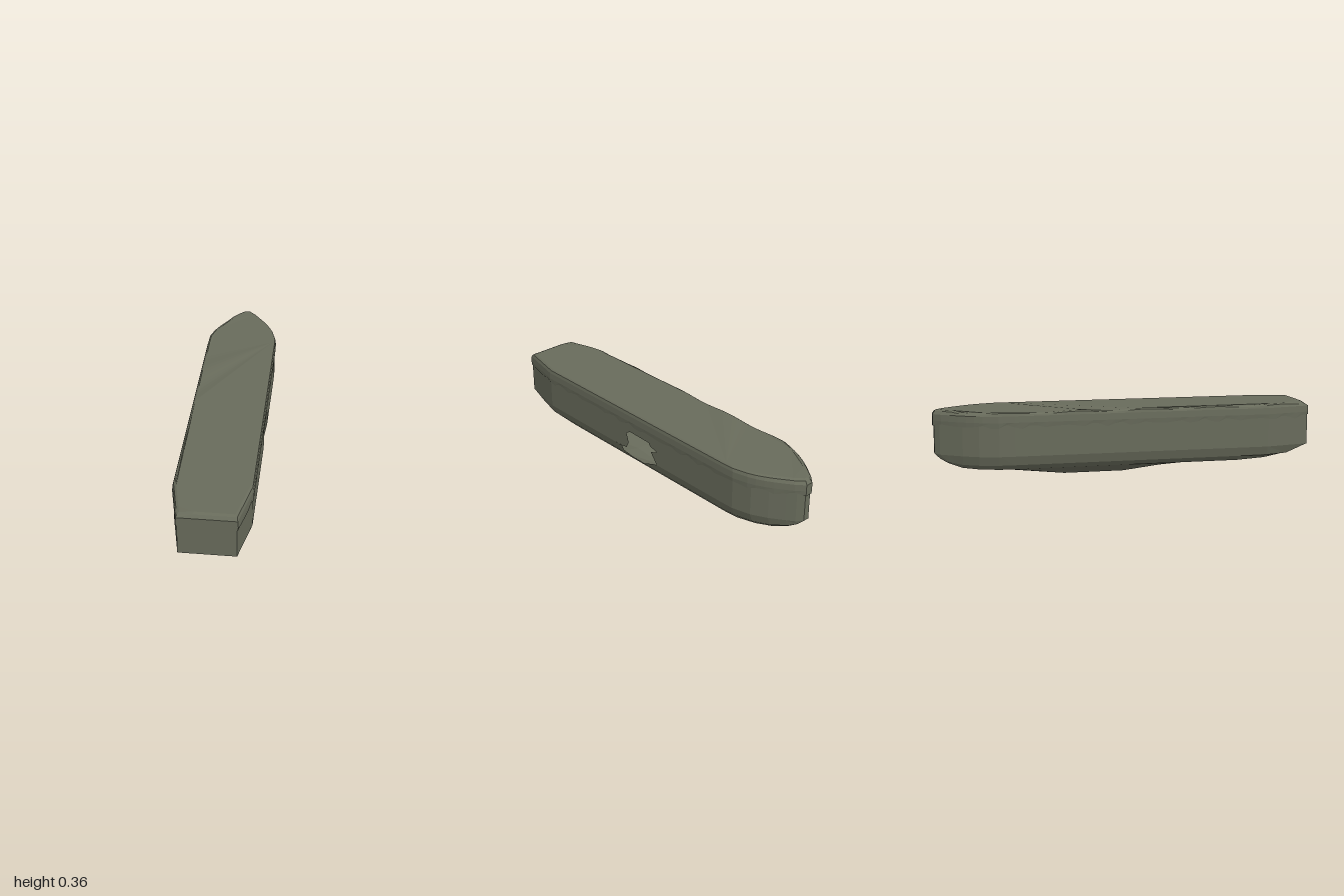
import * as THREE from 'three';

const hullPaint = new THREE.MeshStandardMaterial({ color: 0x686b5b, side: THREE.DoubleSide });
hullPaint.name = 'grey green';

// Hull stations: z, wall half-width, then half-width and height of bilge, chine and keel
const stations = [
  [1, .14, .138, .127, .12, .127, .03, .127],
  [.88, .165, .147, .082, .125, .08, .03, .08],
  [.76, .19, .174, .08, .125, .058, .03, .057],
  [.6, .19, .175, .08, .155, .055, .03, .047],
  [.2, .19, .175, .08, .155, .055, .03, .023],
  [0, .19, .175, .08, .155, .055, .03, 0],
  [-.2, .19, .175, .08, .155, .055, .03, 0],
  [-.32, .19, .175, .08, .155, .055, .03, 0],
  [-.6, .19, .175, .08, .155, .055, .03, .03],
  [-.68, .188, .172, .08, .15, .055, .03, .039],
  [-.78, .163, .147, .08, .12, .056, .03, .05],
  [-.86, .122, .106, .08, .08, .06, .025, .058],
  [-.93, .074, .062, .09, .048, .082, .02, .08],
  [-.97, .046, .038, .11, .03, .104, .015, .103],
  [-.997, .016, .014, .13, .01, .13, .005, .13],
];

function flatGeometry(triangles) {
  const g = new THREE.BufferGeometry();
  g.setAttribute('position', new THREE.Float32BufferAttribute(triangles.flat(), 3));
  g.computeVertexNormals();
  return g;
}

function part(name, geometry) {
  const mesh = new THREE.Mesh(geometry, hullPaint);
  mesh.name = name;
  return mesh;
}

const quad = (out, a, b, c, d) => out.push(a, b, c, a, c, d);

// Full cross-section, from the +x rim under the keel to the -x rim
function section([z, w, bw, by, cw, cy, kw, ky]) {
  const half = [[w, .337], [w, .127 + (by > .127 ? .003 : 0)], [bw, by], [cw, cy], [kw, ky]];
  const zz = z * .997;
  return [
    ...half.map(([x, y]) => [x, y, zz]),
    ...half.reverse().map(([x, y]) => [-x, y, zz]),
  ];
}

function hullGeometry() {
  const out = [];
  const rings = stations.map(section);
  for (let i = 0; i < rings.length - 1; i++) {
    const holed = stations[i][0] <= .2 && stations[i + 1][0] >= -.2;
    for (let j = 0; j < 9; j++) {
      if (holed && j < 2) continue; // room for the breached panel
      quad(out, rings[i][j], rings[i][j + 1], rings[i + 1][j + 1], rings[i + 1][j]);
    }
  }
  // Transom and stem caps
  const first = rings[0], last = rings[rings.length - 1];
  for (let j = 1; j < 9; j++) {
    out.push(first[0], first[j + 1], first[j]);
    out.push(last[0], last[j], last[j + 1]);
  }
  return flatGeometry(out);
}

// Side panel drawn in (z, y), then bent to the hull side
function panelGeometry(points) {
  const contour = points.map(([z, y]) => new THREE.Vector2(z, y));
  const at = ([z, y]) => [y >= .127 ? .19 : .175 + .015 * (y - .08) / .047, y, z];
  const out = [];
  for (const [a, b, c] of THREE.ShapeUtils.triangulateShape(contour, [])) {
    out.push(at(points[a]), at(points[c]), at(points[b]));
  }
  return flatGeometry(out);
}

// Half-width of the deck outline at z
function deckWidth(z) {
  for (let i = 0; i < stations.length - 1; i++) {
    const [z0, w0] = stations[i], [z1, w1] = stations[i + 1];
    if (z <= z0 && z >= z1) return w0 + (w1 - w0) * (z0 - z) / (z0 - z1);
  }
  return stations[stations.length - 1][1];
}

// Cloth cover: a ring of points around the deck, lifted through several levels
function coverGeometry() {
  const zs = [];
  for (let i = 0; i <= 50; i++) zs.push(1 - i * .04);
  const outline = [
    ...zs.map(z => [deckWidth(z), z]),
    ...zs.slice().reverse().map(z => [-deckWidth(z), z]),
    [-.07, 1], [0, 1], [.07, 1],
  ];
  const ragged = k => .007 * Math.sin(k * 1.7) + .005 * Math.sin(k * 4.1 + 1);
  const wave = (x, z) => (x < -.1 ? .004 * (Math.sin(z * 17) - 1) : 0);
  const levels = [
    { y: .28, out: .003, zIn: 0 },
    { y: .302, out: .005, zIn: 0 },
    { y: .335, out: .003, zIn: 0 },
    { y: .351, out: -.001, zIn: .012 },
    { y: .357, out: -.01, zIn: .026 },
  ];
  const rings = levels.map((level, l) => outline.map(([x, z], k) => {
    const px = Math.sign(x) * Math.max(Math.abs(x) + level.out, .003);
    const y = level.y + (l === 0 ? ragged(k) : 0) + (l > 2 ? wave(x, z) : 0);
    return [px, y, z * (1 - level.zIn)];
  }));
  rings[0][outline.length - 1][1] = .255; // sagging hem at the transom

  const out = [];
  const n = outline.length;
  for (let l = 0; l < levels.length - 1; l++) {
    for (let k = 0; k < n; k++) {
      const m = (k + 1) % n;
      quad(out, rings[l][k], rings[l][m], rings[l + 1][m], rings[l + 1][k]);
    }
  }
  const top = rings[levels.length - 1];
  const contour = top.map(([x, , z]) => new THREE.Vector2(x, -z));
  for (const [a, b, c] of THREE.ShapeUtils.triangulateShape(contour, [])) {
    out.push(top[a], top[b], top[c]);
  }
  return flatGeometry(out);
}

export function createModel() {
  const model = new THREE.Group();
  model.name = 'coveredBoat';
  model.add(part('hull', hullGeometry()));

  // Breached side: wall above and bilge below, each notched by the jagged hole
  const zEnd = .2 * .997;
  model.add(part('breachedWall', panelGeometry([
    [-zEnd, .127], [-.132, .127], [-.086, .187], [-.134, .203], [-.08, .22], [-.07, .235],
    [.08, .238], [.107, .22], [.09, .17], [.107, .134], [.144, .128], [zEnd, .127],
    [zEnd, .337], [-zEnd, .337],
  ])));
  model.add(part('breachedBilge', panelGeometry([
    [-zEnd, .08], [zEnd, .08], [zEnd, .127], [.144, .127], [.144, .097], [.1, .09],
    [.08, .083], [-.02, .083], [-.1, .118], [-.132, .127], [-zEnd, .127],
  ])));

  model.add(part('clothCover', coverGeometry()));
  return model;
}
